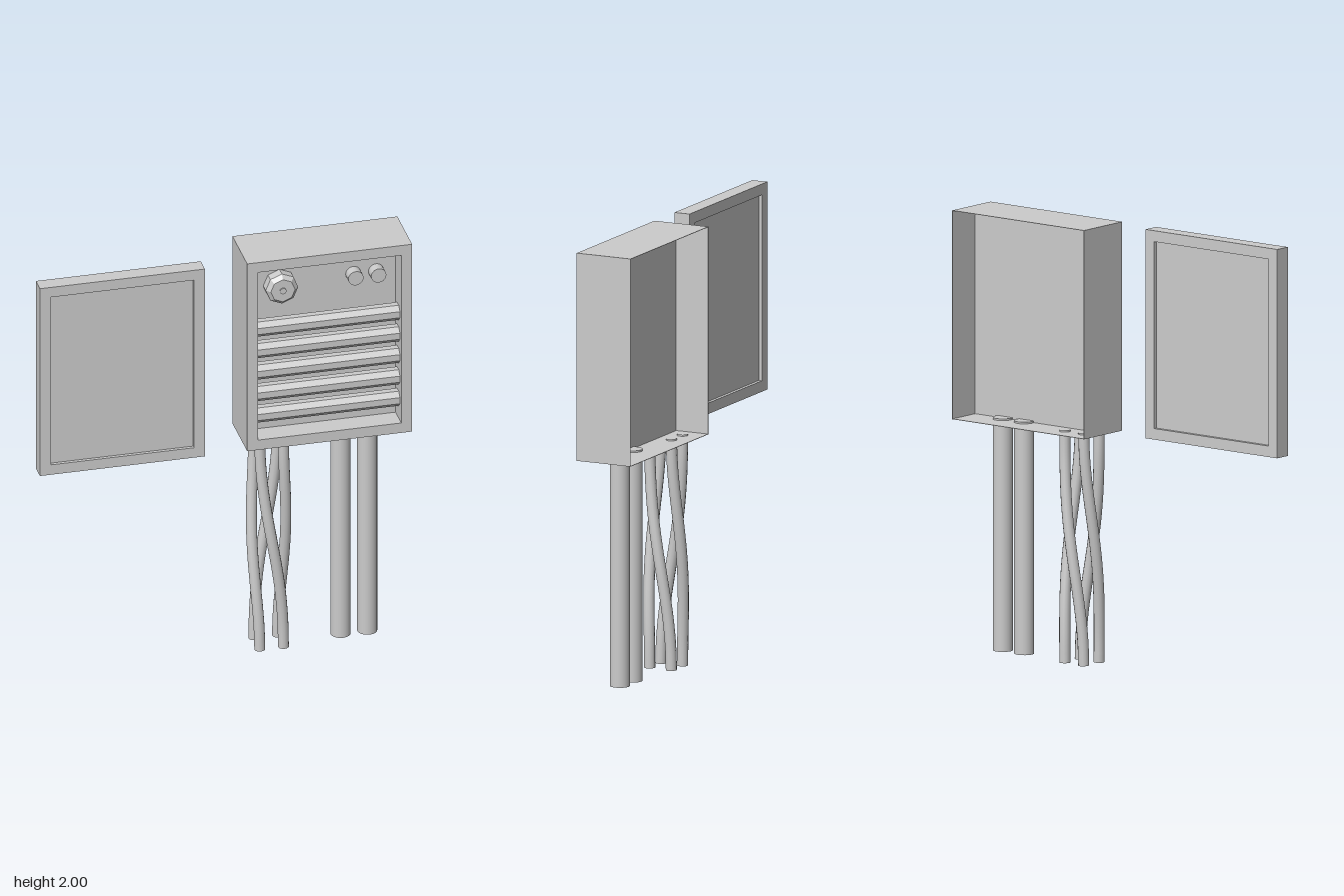
import * as THREE from 'three';

const grey = new THREE.MeshStandardMaterial({ color: 0xcccccc });
const faceted = new THREE.MeshStandardMaterial({ color: 0xcccccc, flatShading: true });

const W = 0.76, H = 0.95, MID_Y = 1.525;
const BOX_X = 0.475, DOOR_X = -0.48;
const PANEL_Z = 0.03, FRONT_Z = 0.135;

function add(parent, name, geometry, x, y, z, material = grey) {
  const mesh = new THREE.Mesh(geometry, material);
  mesh.name = name;
  mesh.position.set(x, y, z);
  parent.add(mesh);
  return mesh;
}

// Rectangular ring of the given border, extruded along +z
function ring(w, h, border, depth) {
  const rect = (target, a, b) => target
    .moveTo(-a / 2, -b / 2).lineTo(a / 2, -b / 2)
    .lineTo(a / 2, b / 2).lineTo(-a / 2, b / 2).closePath();
  const shape = rect(new THREE.Shape(), w, h);
  shape.holes.push(rect(new THREE.Path(), w - 2 * border, h - 2 * border));
  return new THREE.ExtrudeGeometry(shape, { depth, bevelEnabled: false });
}

// Prism whose axis points along +z
function prism(rFront, rBack, depth, sides) {
  return new THREE.CylinderGeometry(rFront, rBack, depth, sides).rotateX(Math.PI / 2);
}

// One strand of the bundle: quarter turn around the bundle axis
function strand(startAngle) {
  const points = [];
  for (let i = 0; i <= 10; i++) {
    const t = i / 10;
    const turn = t * t * (3 - 2 * t);
    const a = startAngle + turn * Math.PI / 2;
    points.push(new THREE.Vector3(0.077 * Math.cos(a), 1.06 * t, 0.077 * Math.sin(a)));
  }
  return new THREE.TubeGeometry(new THREE.CatmullRomCurve3(points), 24, 0.025, 12);
}

export function createModel() {
  const model = new THREE.Group();
  model.name = 'controlCabinet';

  // Cabinet: thin shell open at the back, dividing panel, deep front frame
  const cabinet = new THREE.Group();
  cabinet.name = 'cabinet';
  model.add(cabinet);
  add(cabinet, 'rearShell', ring(W, H, 0.002, PANEL_Z + FRONT_Z), BOX_X, MID_Y, -FRONT_Z);
  add(cabinet, 'mountingPanel', new THREE.BoxGeometry(W - 0.004, H - 0.004, 0.005), BOX_X, MID_Y, PANEL_Z - 0.0025);
  add(cabinet, 'frontFrame', ring(W, H, 0.05, FRONT_Z - PANEL_Z), BOX_X, MID_Y, PANEL_Z);

  // Row of eight-sided horizontal bars
  for (let i = 0; i < 5; i++) {
    const bar = new THREE.CylinderGeometry(0.04, 0.04, 0.66, 8)
      .rotateY(Math.PI / 8).rotateZ(Math.PI / 2);
    add(cabinet, 'bar', bar, BOX_X, 1.636 - i * 0.109, 0.073, faceted);
  }

  // Eight-sided knob: base, tapered rim and centre pin
  const knob = new THREE.Group();
  knob.name = 'knob';
  knob.position.set(0.27, 1.82, PANEL_Z);
  cabinet.add(knob);
  add(knob, 'knobBase', prism(0.075, 0.075, 0.045, 8), 0, 0, 0.0225, faceted);
  add(knob, 'knobRim', prism(0.056, 0.075, 0.02, 8), 0, 0, 0.055, faceted);
  add(knob, 'knobPin', prism(0.015, 0.015, 0.01, 12), 0, 0, 0.066);

  // Two push buttons
  for (const x of [0.61, 0.715]) {
    add(cabinet, 'button', prism(0.035, 0.035, 0.05, 20), x, 1.83, PANEL_Z + 0.025);
  }

  // Detached door, recessed on both faces
  const door = new THREE.Group();
  door.name = 'door';
  model.add(door);
  add(door, 'doorFrame', ring(W, H, 0.05, 0.075), DOOR_X, MID_Y, 0.06);
  add(door, 'doorPanel', new THREE.BoxGeometry(W - 0.1, H - 0.1, 0.043), DOOR_X, MID_Y, 0.0975);

  // Two straight conduits
  for (const x of [0.557, 0.68]) {
    add(model, 'conduit', new THREE.CylinderGeometry(0.045, 0.045, 1.06, 24), x, 0.53, 0.008);
  }

  // Four twisted cables with capped lower ends
  const cables = new THREE.Group();
  cables.name = 'twistedCables';
  cables.position.set(0.225, 0, 0.01);
  model.add(cables);
  for (let i = 0; i < 4; i++) {
    const a = Math.PI / 4 + i * Math.PI / 2;
    add(cables, 'cable', strand(a), 0, 0, 0);
    add(cables, 'cableEnd', new THREE.CircleGeometry(0.025, 12).rotateX(Math.PI / 2),
      0.077 * Math.cos(a), 0.001, 0.077 * Math.sin(a));
  }
  return model;
}
